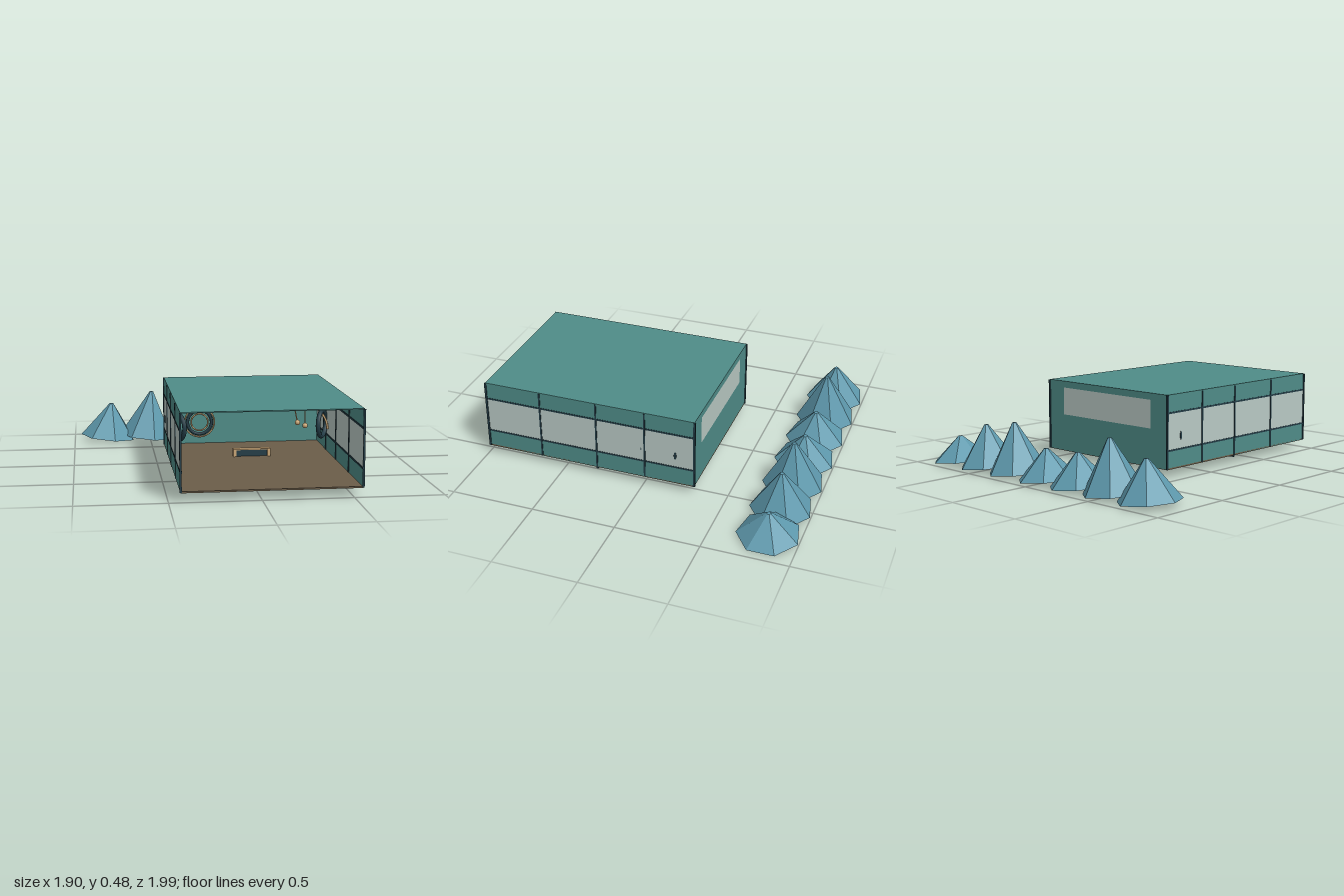
import * as THREE from 'three';

const mat = (name, color, flatShading = false) => {
  const m = new THREE.MeshStandardMaterial({ color, flatShading });
  m.name = name;
  return m;
};

export function createModel() {
  const root = new THREE.Group();
  const teal = mat('tealPaint', 0x4f8c88);
  const glass = mat('paleGlass', 0xb9c9c4);
  const dark = mat('darkTrim', 0x233c46);
  const wood = mat('brownFloor', 0x6b5d49);
  const brass = mat('brass', 0xcba878);
  const rock = mat('blueRock', 0x5f9aae, true);

  const add = (parent, name, geometry, material, x = 0, y = 0, z = 0) => {
    const m = new THREE.Mesh(geometry, material);
    m.name = name;
    m.position.set(x, y, z);
    parent.add(m);
    return m;
  };
  // Box given by its two extreme corners
  const box = (parent, name, material, x0, x1, y0, y1, z0, z1) =>
    add(parent, name, new THREE.BoxGeometry(x1 - x0, y1 - y0, z1 - z0), material,
      (x0 + x1) / 2, (y0 + y1) / 2, (z0 + z1) / 2);
  const group = (name) => {
    const g = new THREE.Group();
    g.name = name;
    root.add(g);
    return g;
  };

  // Cabin shell, open at the front
  const X0 = -0.435, X1 = 0.55, Y0 = 0.055, Y1 = 0.485, Z0 = -0.31, Z1 = 0.99, T = 0.006;
  const cabin = group('cabin');
  box(cabin, 'floor', wood, X0, X1, Y0 - 0.003, Y0 + T, Z0, Z1);
  box(cabin, 'roof', teal, X0, X1, Y1 - T, Y1, Z0, Z1);
  box(cabin, 'floorCrossStrip', dark, X0, X1, 0.042, Y0, 0.285, 0.297);

  // Back wall around its window
  const W = { x0: -0.305, x1: 0.425, y0: 0.278, y1: 0.445 };
  box(cabin, 'backWallLower', teal, X0, X1, Y0, W.y0, Z0, Z0 + T);
  box(cabin, 'backWallUpper', teal, X0, X1, W.y1, Y1, Z0, Z0 + T);
  box(cabin, 'backWallRight', teal, X0, W.x0, W.y0, W.y1, Z0, Z0 + T);
  box(cabin, 'backWallLeft', teal, W.x1, X1, W.y0, W.y1, Z0, Z0 + T);
  box(cabin, 'backWindow', glass, W.x0, W.x1, W.y0, W.y1, Z0, Z0 + T);
  for (const y of [W.y0, W.y1])
    box(cabin, 'backWindowFrame', dark, W.x0 - 0.005, W.x1 + 0.005, y - 0.005, y + 0.005, Z0 + T, Z0 + 0.015);
  for (const x of [W.x0, W.x1])
    box(cabin, 'backWindowFrame', dark, x - 0.005, x + 0.005, W.y0, W.y1, Z0 + T, Z0 + 0.015);

  // Side walls: painted bands, window strip, rails, posts and door handle
  for (const [x, s] of [[X0, 1], [X1, -1]]) {
    const side = new THREE.Group();
    side.name = s > 0 ? 'rightSide' : 'leftSide';
    cabin.add(side);
    const slab = (name, m, y0, y1, z0, z1, out, into) => {
      const a = x - s * out, b = x + s * into;
      box(side, name, m, Math.min(a, b), Math.max(a, b), y0, y1, z0, z1);
    };
    slab('lowerPanel', teal, Y0, 0.16, Z0, Z1, 0, T);
    slab('sideWindow', glass, 0.16, 0.38, Z0, Z1, 0, T);
    slab('upperPanel', teal, 0.38, Y1, Z0, Z1, 0, T);
    for (const y of [0.162, 0.38])
      slab('windowRail', dark, y - 0.005, y + 0.005, Z0, Z1, 0.002, 0.009);
    for (const z of [0.645, 0.291, -0.008])
      slab('sidePost', dark, Y0, Y1 - 0.006, z - 0.005, z + 0.005, 0.004, 0.01);
    for (const z of [Z0, Z1])
      slab('cornerPost', dark, Y0, Y1 - 0.003, z - 0.006, z + 0.006, 0.005, 0.006);
    const handle = add(side, 'doorHandle', new THREE.SphereGeometry(1, 12, 8), dark, x - s * 0.002, 0.24, -0.195);
    handle.scale.set(0.004, 0.026, 0.008);
  }

  // Arched brass band with an upright dark ring at each end
  const arch = group('archBand');
  const pts = [];
  for (let i = 0; i <= 24; i++) {
    const a = Math.PI * (1 - i / 24);
    pts.push(new THREE.Vector3(0.06 + 0.475 * Math.cos(a), 0.205 + 0.258 * Math.sin(a), 0.08));
  }
  add(arch, 'band', new THREE.TubeGeometry(new THREE.CatmullRomCurve3(pts), 48, 0.007, 8), brass);
  for (const s of [-1, 1]) {
    const ring = add(arch, 'endRing', new THREE.TorusGeometry(0.078, 0.014, 10, 28), dark, 0.06 + s * 0.44, 0.24, 0.08);
    ring.rotation.y = s * 1.08;
  }

  // Wheel made of concentric rings
  const wheel = group('wheel');
  for (const [r, t, m] of [[0.09, 0.005, brass], [0.073, 0.01, dark], [0.051, 0.005, brass]])
    add(wheel, 'wheelRing', new THREE.TorusGeometry(r, t, 8, 32), m, -0.242, 0.255, 0.02);

  // Two slim levers with round knobs
  const levers = group('levers');
  for (const [xa, ya, xb, yb] of [[0.343, 0.337, 0.364, 0.235], [0.41, 0.327, 0.411, 0.215]]) {
    const path = new THREE.LineCurve3(new THREE.Vector3(xa, ya, 0), new THREE.Vector3(xb, yb, 0));
    add(levers, 'leverRod', new THREE.TubeGeometry(path, 1, 0.004, 6), brass);
    add(levers, 'leverKnob', new THREE.SphereGeometry(0.017, 12, 8), brass, xb, yb, 0);
  }

  // Low panel with brass end caps and a small grille under the floor
  const panel = group('lowPanel');
  box(panel, 'panelFace', dark, -0.03, 0.155, 0.062, 0.1, 0.1, 0.14);
  box(panel, 'panelTop', brass, -0.05, 0.175, 0.1, 0.106, 0.1, 0.145);
  for (const x of [-0.042, 0.165])
    box(panel, 'panelEnd', brass, x - 0.009, x + 0.009, 0.056, 0.1, 0.1, 0.145);
  for (let i = 0; i < 4; i++)
    box(panel, 'grilleBar', brass, -0.05 + i * 0.025, -0.037 + i * 0.025, 0.048, 0.06, 0.1, 0.14);

  // Row of leaning seven-sided mountains behind the cabin
  const range = group('mountains');
  [0.245, 0.32, 0.207, 0.194, 0.31, 0.267, 0.168].forEach((peak, i) => {
    const h = peak - 0.02;
    const g = new THREE.CylinderGeometry(0.012, 0.181, h, 7, 1, false, -Math.PI / 2);
    g.translate(0, h / 2, 0);
    const m = add(range, 'mountain', g, rock, -0.777 + 0.26 * i, 0.02, -0.822);
    m.rotation.z = -0.105;
  });
  return root;
}
